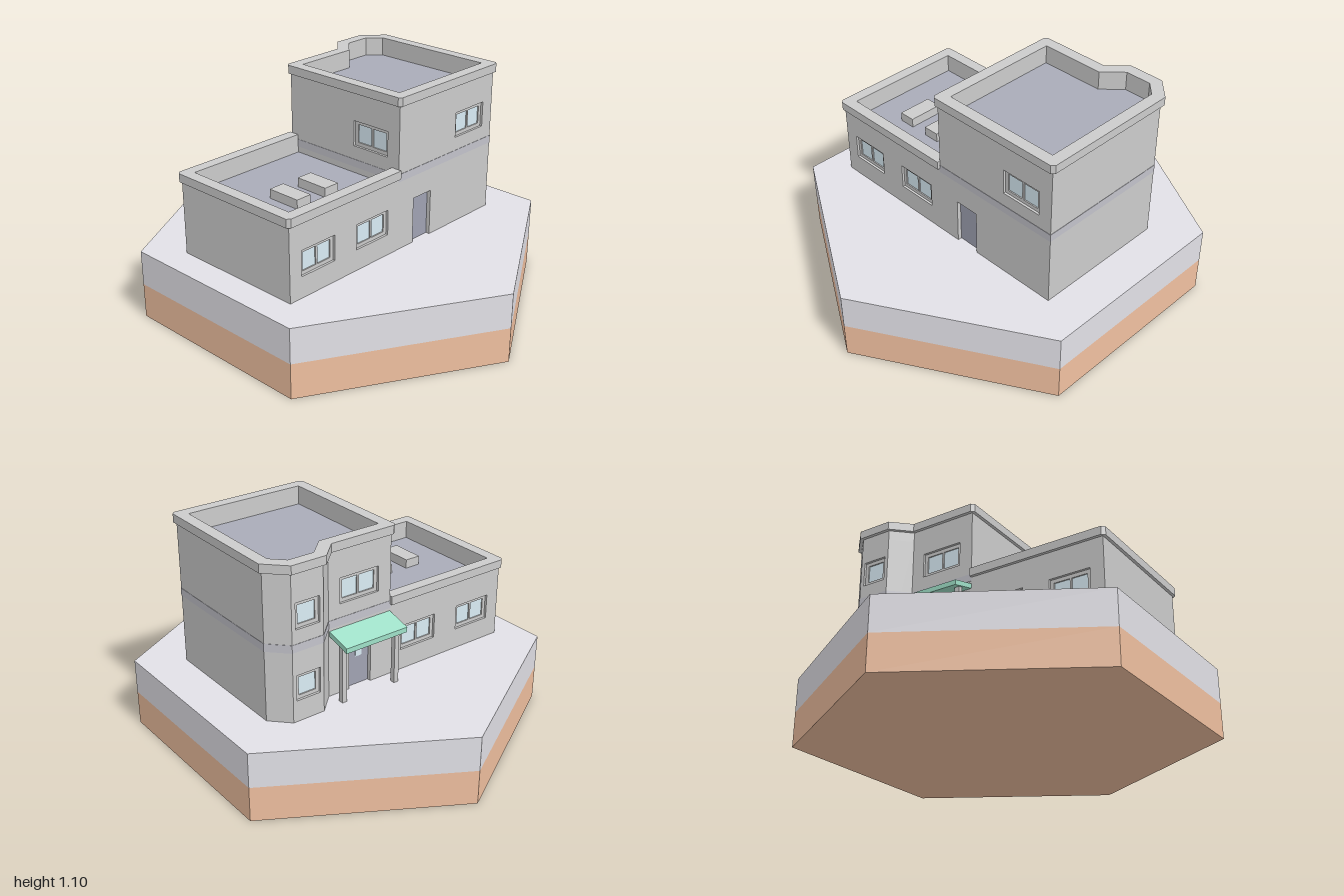
import * as THREE from 'three';

const mat = (color) => new THREE.MeshStandardMaterial({ color, flatShading: true });
const M = {
  wall: mat(0xcccccc), trim: mat(0xc4c4c7), roof: mat(0xaaacb8), glass: mat(0xd9ecf5),
  door: mat(0xa0a2b2), ground: mat(0xe2e1e7), soil: mat(0xf0c0a0), canopy: mat(0x9fe0c8), band: mat(0xc3c3cb),
};
const GROUND = 0.346, LOW_ROOF = 0.66, LOW_TOP = 0.71, TALL_ROOF = 1.01, TALL_TOP = 1.06, CAP = 0.042;
const BACK = -0.335, FRONT = 0.36, WEST = -0.725, MID = -0.03, EAST = 0.66;

function add(parent, name, geo, material) {
  const m = new THREE.Mesh(geo, material);
  m.name = name;
  parent.add(m);
  return m;
}

function box(parent, name, material, x0, x1, y0, y1, z0, z1) {
  const g = new THREE.BoxGeometry(x1 - x0, y1 - y0, z1 - z0);
  g.translate((x0 + x1) / 2, (y0 + y1) / 2, (z0 + z1) / 2);
  return add(parent, name, g, material);
}

const extrude = (shape, depth) => new THREE.ExtrudeGeometry(shape, { depth, bevelEnabled: false });
const toPath = (pts) => pts.map(([x, z]) => new THREE.Vector2(x, -z));

// Horizontal slab from a plan outline of [x, z] points, with an optional hole
function slab(parent, name, material, pts, y0, y1, hole) {
  const shape = new THREE.Shape(toPath(pts));
  if (hole) shape.holes.push(new THREE.Path(toPath(hole)));
  const g = extrude(shape, y1 - y0).rotateX(-Math.PI / 2).translate(0, y0, 0);
  return add(parent, name, g, material);
}

// Unit direction from p to q
function dir(p, q) {
  const l = Math.hypot(q[0] - p[0], q[1] - p[1]);
  return [(q[0] - p[0]) / l, (q[1] - p[1]) / l];
}

// Mitred offset of a plan outline that runs front -> right -> back -> left
function offset(pts, d) {
  return pts.map((p, i) => {
    const a = dir(pts[(i + pts.length - 1) % pts.length], p), b = dir(p, pts[(i + 1) % pts.length]);
    const n1 = [-a[1], a[0]], n2 = [-b[1], b[0]];
    const k = d / (1 + n1[0] * n2[0] + n1[1] * n2[1]);
    return [p[0] + (n1[0] + n2[0]) * k, p[1] + (n1[1] + n2[1]) * k];
  });
}

// Cut the right-angled corners of a plan outline
function chamfer(pts, c) {
  return pts.flatMap((p, i) => {
    const a = dir(pts[(i + pts.length - 1) % pts.length], p), b = dir(p, pts[(i + 1) % pts.length]);
    if (Math.abs(a[0] * b[0] + a[1] * b[1]) > 0.1) return [p];
    return [[p[0] - a[0] * c, p[1] - a[1] * c], [p[0] + b[0] * c, p[1] + b[1] * c]];
  });
}

const rect = (Type, u0, u1, v0, v1) => new Type([
  new THREE.Vector2(u0, v0), new THREE.Vector2(u1, v0), new THREE.Vector2(u1, v1), new THREE.Vector2(u0, v1)]);

// Window frame and glass, set back in its opening
function addWindow(parent, u0, u1, v0, v1, panes) {
  const frame = rect(THREE.Shape, u0, u1, v0, v1);
  const border = 0.018, bar = 0.01;
  const w = (u1 - u0 - 2 * border - (panes - 1) * bar) / panes;
  for (let i = 0; i < panes; i++) {
    const s = u0 + border + i * (w + bar);
    frame.holes.push(rect(THREE.Path, s, s + w, v0 + border, v1 - border));
  }
  add(parent, 'windowFrame', extrude(frame, 0.008).translate(0, 0, -0.02), M.trim);
  box(parent, 'windowGlass', M.glass, u0, u1, v0, v1, -0.026, -0.018);
}

// Wall panel from a to b (left to right seen from outside) with recessed openings
function facade(parent, name, a, b, top, windows = [], door = null, panes = 2) {
  const g = new THREE.Group();
  g.name = name;
  g.position.set(a[0], 0, a[1]);
  g.rotation.y = Math.atan2(a[1] - b[1], b[0] - a[0]);
  parent.add(g);
  const shape = rect(THREE.Shape, 0, Math.hypot(b[0] - a[0], b[1] - a[1]), GROUND - 0.03, top);
  for (const [u0, u1, v0, v1] of windows) {
    shape.holes.push(rect(THREE.Path, u0, u1, v0, v1));
    addWindow(g, u0, u1, v0, v1, panes);
  }
  if (door) {
    shape.holes.push(rect(THREE.Path, door[0], door[1], GROUND - 0.01, 0.575));
    box(g, 'door', M.door, door[0], door[1], GROUND - 0.01, 0.575, -0.028, -0.02);
  }
  add(g, 'wallPanel', extrude(shape, 0.03).translate(0, 0, -0.03), M.wall);
  return g;
}

export function createModel() {
  const model = new THREE.Group();
  const lower = [0.45, 0.575], upper = [0.795, 0.92];

  // Hexagonal base in two layers
  const h = GROUND / 2;
  add(model, 'soilLayer', new THREE.CylinderGeometry(1, 1, h, 6).translate(0, h / 2, 0), M.soil);
  add(model, 'pavementLayer', new THREE.CylinderGeometry(1, 1, h, 6).translate(0, h * 1.5, 0), M.ground);

  // Low wing
  const low = new THREE.Group();
  low.name = 'lowWing';
  model.add(low);
  facade(low, 'lowFrontWall', [WEST, FRONT], [MID, FRONT], LOW_ROOF,
    [[0.07, 0.275, ...lower], [0.415, 0.625, ...lower]]);
  facade(low, 'lowBackWall', [MID, BACK], [WEST, BACK], LOW_ROOF,
    [[0.07, 0.28, ...lower], [0.42, 0.625, ...lower]]);
  facade(low, 'lowSideWall', [WEST, BACK], [WEST, FRONT], LOW_ROOF);
  box(low, 'lowRoof', M.roof, WEST + 0.03, MID, LOW_ROOF - 0.02, LOW_ROOF, BACK + 0.03, FRONT - 0.03);

  // Parapet on three sides, grown outward by d with corners cut by c
  const parapet = (d, c) => [
    [MID, FRONT + d], [MID, FRONT - 0.042], [WEST + 0.042, FRONT - 0.042], [WEST + 0.042, BACK + 0.042],
    [MID, BACK + 0.042], [MID, BACK - d], [WEST - d + c, BACK - d], [WEST - d, BACK - d + c],
    [WEST - d, FRONT + d - c], [WEST - d + c, FRONT + d]];
  slab(low, 'lowParapet', M.wall, parapet(0, 0), LOW_ROOF, LOW_TOP);
  slab(low, 'lowParapetCap', M.trim, parapet(0.015, 0.015), LOW_TOP, LOW_TOP + CAP);
  for (const x of [-0.505, -0.33])
    box(low, 'roofVent', M.trim, x, x + 0.083, LOW_ROOF, LOW_ROOF + 0.045, 0.01, 0.185);

  // Tall block with an angled bay at the back
  const tall = new THREE.Group();
  tall.name = 'tallBlock';
  model.add(tall);
  const plan = [[MID, FRONT], [EAST, FRONT], [EAST, BACK], [0.575, -0.422], [0.41, -0.422], [0.32, BACK], [MID, BACK]];
  facade(tall, 'tallFrontWall', plan[0], plan[1], TALL_ROOF, [[0.41, 0.62, ...upper]], [0.11, 0.235]);
  facade(tall, 'tallRightWall', plan[1], plan[2], TALL_ROOF);
  facade(tall, 'bayOuterWall', plan[2], plan[3], TALL_ROOF);
  facade(tall, 'bayBackWall', plan[3], plan[4], TALL_ROOF,
    [[0.02, 0.146, ...lower], [0.02, 0.146, ...upper]], null, 1);
  facade(tall, 'bayInnerWall', plan[4], plan[5], TALL_ROOF);
  const back = facade(tall, 'tallBackWall', plan[5], plan[6], TALL_ROOF, [[0.065, 0.28, ...upper]], [0.115, 0.24]);
  box(back, 'doorPane', M.glass, 0.165, 0.2, 0.49, 0.54, -0.021, -0.018);
  facade(tall, 'tallLeftWall', plan[6], plan[0], TALL_ROOF, [[0.415, 0.625, ...upper]]);
  slab(tall, 'storeyBand', M.band, offset(plan, 0.0015), 0.69, 0.728);
  const inner = offset(plan, -0.042);
  slab(tall, 'tallRoof', M.roof, offset(plan, -0.03), TALL_ROOF - 0.02, TALL_ROOF);
  slab(tall, 'tallParapet', M.wall, plan, TALL_ROOF, TALL_TOP, inner);
  slab(tall, 'tallParapetCap', M.trim, chamfer(offset(plan, 0.016), 0.015), TALL_TOP, TALL_TOP + CAP, inner);

  // Sloping canopy on two posts over the back door
  const side = new THREE.Shape([[BACK, 0.652], [-0.46, 0.618], [-0.46, 0.643], [BACK, 0.677]]
    .map(([z, y]) => new THREE.Vector2(-z, y)));
  add(model, 'canopy', extrude(side, 0.345).rotateY(Math.PI / 2).translate(MID, 0, 0), M.canopy);
  for (const x of [-0.02, 0.28])
    box(model, 'canopyPost', M.wall, x, x + 0.025, GROUND, 0.637, -0.418, -0.393);

  return model;
}
